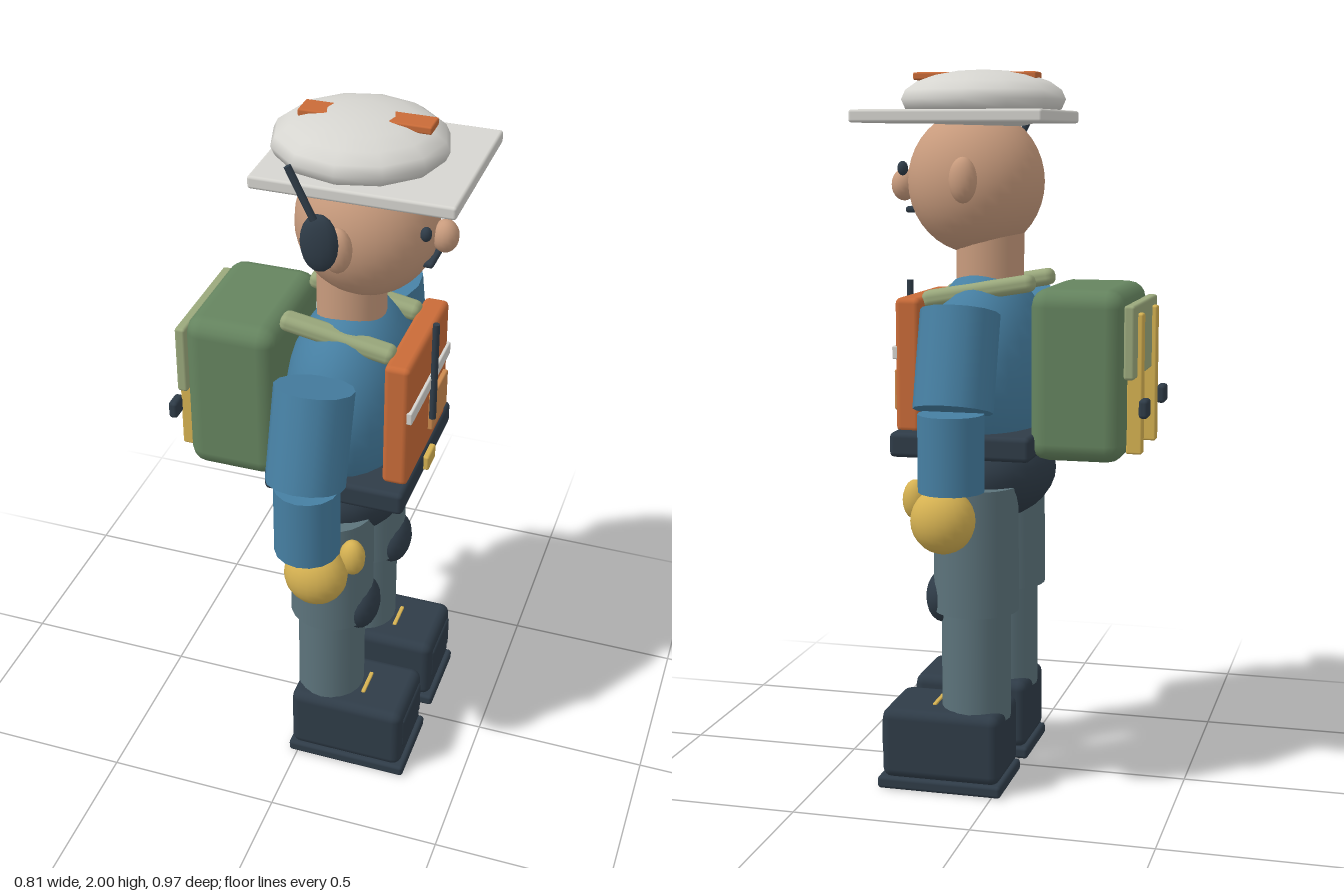
import * as THREE from 'three';
import { RoundedBoxGeometry } from 'three/addons/geometries/RoundedBoxGeometry.js';

const material = (name, color) => {
  const m = new THREE.MeshStandardMaterial({ color });
  m.name = name;
  return m;
};

export function createModel() {
  const white = material('white', 0xd6d5d0);
  const skin = material('skin', 0xc89b7d);
  const blue = material('blue', 0x467fa2);
  const orange = material('orange', 0xc96b38);
  const lightOrange = material('lightOrange', 0xcc8a4e);
  const green = material('green', 0x65845f);
  const paleGreen = material('paleGreen', 0x9aa87c);
  const dark = material('dark', 0x2f3c48);
  const grey = material('grey', 0x5c737b);
  const yellow = material('yellow', 0xd6b252);

  const group = new THREE.Group();
  group.name = 'backpackWorker';

  const add = (name, geometry, mat, x, y, z) => {
    const mesh = new THREE.Mesh(geometry, mat);
    mesh.name = name;
    mesh.position.set(x, y, z);
    group.add(mesh);
    return mesh;
  };
  // Ellipsoid given by its three radii
  const ball = (name, mat, [x, y, z], [rx, ry, rz], w = 24, h = 16) =>
    add(name, new THREE.SphereGeometry(1, w, h).scale(rx, ry, rz), mat, x, y, z);
  // Rounded box given by its lower and upper corners
  const block = (name, mat, a, b, r = 0.008, seg = 2) => {
    const s = a.map((v, i) => b[i] - v);
    const c = a.map((v, i) => (b[i] + v) / 2);
    const radius = Math.min(r, Math.min(...s) * 0.45);
    return add(name, new RoundedBoxGeometry(...s, seg, radius), mat, ...c);
  };
  const tube = (name, mat, [x, y, z], rTop, rBottom, h, seg = 16) =>
    add(name, new THREE.CylinderGeometry(rTop, rBottom, h, seg), mat, x, y, z);

  // Head, facing +x
  ball('head', skin, [0.112, 1.695, 0], [0.192, 0.2, 0.178], 32, 20);
  tube('neck', skin, [0.072, 1.48, 0], 0.095, 0.095, 0.18, 24);
  ball('nose', skin, [0.322, 1.685, 0], [0.036, 0.045, 0.037], 16, 12);
  block('mouth', dark, [0.275, 1.608, -0.05], [0.305, 1.626, 0.05]);

  // Cap
  block('capBrim', white, [-0.13, 1.855, -0.233], [0.405, 1.89, 0.233], 0.008);
  ball('capDome', white, [0.091, 1.918, 0], [0.234, 0.082, 0.222], 12, 10);
  block('capStripe', orange, [-0.067, 1.972, -0.034], [0.284, 1.993, 0.034], 0.005);

  // Headset on one side
  ball('earCup', dark, [0.058, 1.735, 0.23], [0.051, 0.08, 0.024], 14, 10);
  const aerial = tube('headsetAerial', dark, [0.018, 1.876, 0.251], 0.01, 0.01, 0.15, 8);
  aerial.rotation.z = 0.46;

  // Torso, hips and belt
  ball('torso', blue, [0.08, 1.17, 0], [0.18, 0.29, 0.26], 28, 18);
  ball('hips', dark, [0.072, 0.885, 0], [0.184, 0.143, 0.236], 28, 16);
  block('belt', dark, [-0.1, 0.948, -0.245], [0.297, 1.017, 0.245], 0.014);
  block('buckle', yellow, [0.285, 0.962, -0.037], [0.312, 1.007, 0.037], 0.006);

  // Chest pack
  block('chestPack', orange, [0.222, 1.01, -0.195], [0.293, 1.383, 0.195], 0.016);
  block('chestStripe', white, [0.285, 1.213, -0.192], [0.302, 1.25, 0.192], 0.004);
  block('chestPocket', lightOrange, [0.285, 1.067, -0.158], [0.307, 1.18, -0.01], 0.005);
  tube('chestAerial', dark, [0.308, 1.267, 0], 0.01, 0.01, 0.3, 8);

  // Backpack
  block('backpack', green, [-0.345, 0.943, -0.198], [-0.083, 1.415, 0.198], 0.05, 2);
  block('backpackFlap', paleGreen, [-0.373, 1.175, -0.182], [-0.343, 1.375, 0.182], 0.008);

  // Parts that come in pairs
  for (const s of [1, -1]) {
    ball('eye', dark, [0.296, 1.732, s * 0.095], [0.015, 0.02, 0.016], 12, 8);
    ball('ear', skin, [0.095, 1.703, s * 0.197], [0.039, 0.062, 0.033], 16, 12);

    const strap = block('shoulderStrap', paleGreen,
      [-0.088, 1.376, s * 0.12 - 0.03], [0.234, 1.424, s * 0.12 + 0.03], 0.02);
    strap.rotation.z = -0.17;
    block('packStrap', yellow, [-0.387, 0.965, s * 0.113 - 0.018],
      [-0.342, 1.35, s * 0.113 + 0.018], 0.006);
    block('packClip', dark, [-0.409, 1.07, s * 0.145 - 0.028],
      [-0.383, 1.122, s * 0.145 + 0.028], 0.01);

    // Arm and gloved hand
    const upperArm = tube('upperArm', blue, [0.072, 1.234, s * 0.347], 0.107, 0.107, 0.264, 14);
    upperArm.rotation.x = -s * 0.29;
    tube('forearm', blue, [0.077, 0.997, s * 0.387], 0.089, 0.089, 0.208);
    ball('hand', yellow, [0.101, 0.812, s * 0.387], [0.088, 0.09, 0.075], 20, 14);
    ball('thumb', yellow, [0.19, 0.856, s * 0.342], [0.036, 0.055, 0.033], 14, 10);

    // Leg
    tube('thigh', grey, [0.072, 0.69, s * 0.16], 0.117, 0.12, 0.354, 24);
    tube('shin', grey, [0.072, 0.38, s * 0.162], 0.097, 0.097, 0.36, 20);
    ball('kneePad', dark, [0.164, 0.545, s * 0.16], [0.05, 0.076, 0.078], 18, 12);

    // Boot
    block('boot', dark, [-0.02, 0.03, s * 0.16 - 0.117], [0.322, 0.233, s * 0.16 + 0.117], 0.028);
    block('toeCap', dark, [0.272, 0.09, s * 0.16 - 0.09], [0.328, 0.2, s * 0.16 + 0.09], 0.012);
    block('sole', dark, [-0.026, 0, s * 0.16 - 0.12], [0.333, 0.035, s * 0.16 + 0.12], 0.01);
    block('lace', yellow, [0.178, 0.228, s * 0.16 - 0.045], [0.19, 0.238, s * 0.16 + 0.045], 0.003);
  }

  return group;
}
